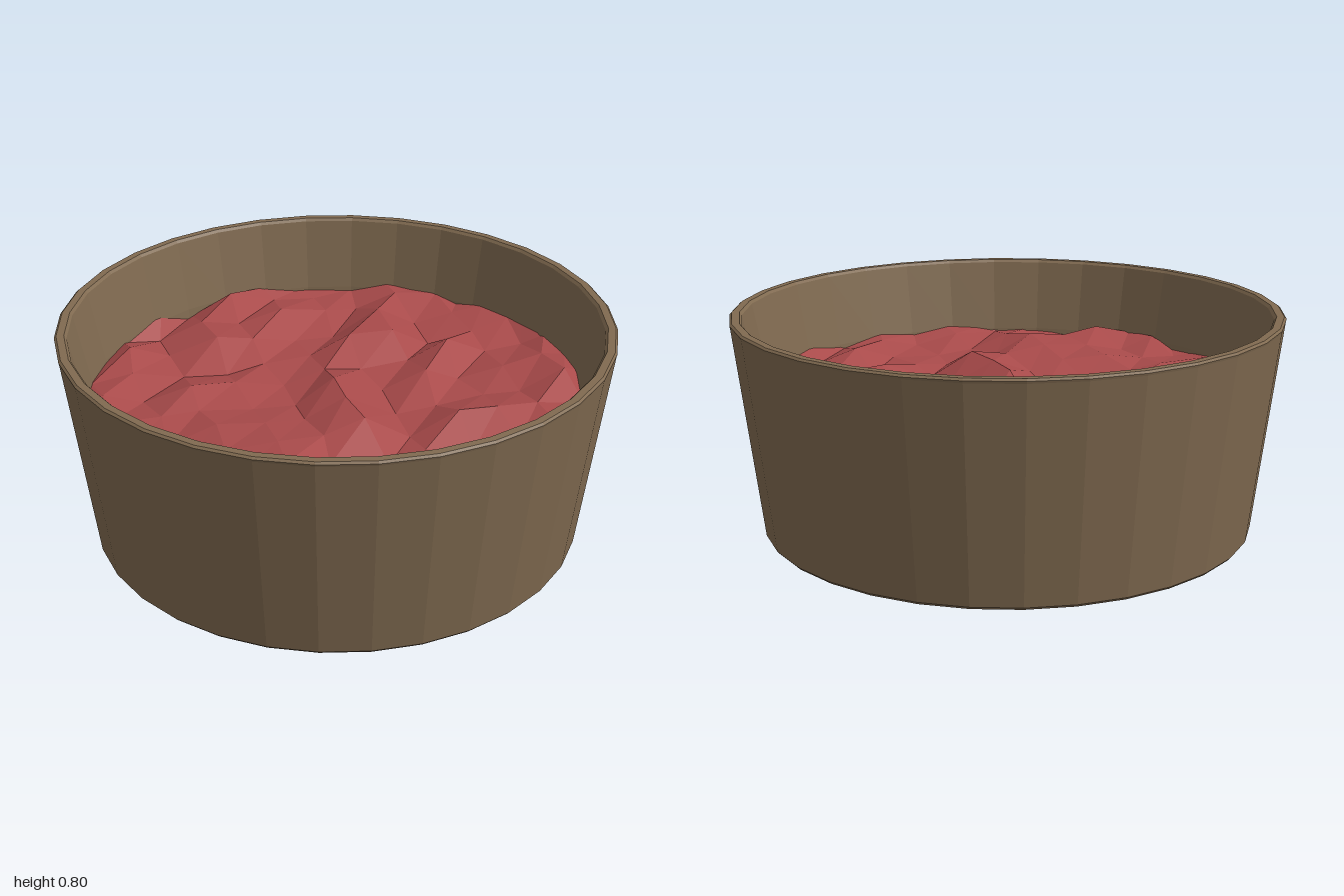
import * as THREE from 'three';

const SEGMENTS = 32;
const CELLS = 12;
const FILL_RADIUS = 0.912;
const FILL_HEIGHT = 0.52;

// small seeded generator, returns values in -1..1
function makeNoise(seed) {
  let s = seed;
  return () => {
    s = (s * 16807) % 2147483647;
    return (s / 2147483647) * 2 - 1;
  };
}

// bowl: one closed profile with a recessed foot and softened lips
function createBowl(material) {
  const profile = [
    [0, 0.04], [0.855, 0.04], [0.86, 0.01], [0.868, 0], [0.893, 0], [0.902, 0.01],
    [0.998, 0.785], [1, 0.793], [0.992, 0.8], [0.965, 0.8], [0.956, 0.79],
    [0.902, 0.52], [0.85, 0.1], [0, 0.1],
  ].map(([r, y]) => new THREE.Vector2(r, y));
  const bowl = new THREE.Mesh(new THREE.LatheGeometry(profile, SEGMENTS), material);
  bowl.name = 'bowl';
  return bowl;
}

// filling: a jittered grid whose outer points are pulled in to the bowl wall
function createFilling(material) {
  const geometry = new THREE.PlaneGeometry(2, 2, CELLS, CELLS).rotateX(-Math.PI / 2);
  const pos = geometry.attributes.position;
  const noise = makeNoise(4711);
  for (let i = 0; i < pos.count; i++) {
    let x = pos.getX(i) + noise() * 0.02;
    let z = pos.getZ(i) + noise() * 0.02;
    let y = FILL_HEIGHT + noise() * 0.045;
    const col = i % (CELLS + 1);
    const row = Math.floor(i / (CELLS + 1));
    // ridge with a steep drop to its right near the middle
    if (row >= 6 && row <= 8) {
      if (col === 6) y = FILL_HEIGHT + 0.05;
      if (col === 7) y = FILL_HEIGHT - 0.04;
    }
    const r = Math.hypot(x, z);
    if (r > FILL_RADIUS) {
      x *= FILL_RADIUS / r;
      z *= FILL_RADIUS / r;
      y = FILL_HEIGHT + (y - FILL_HEIGHT) * 0.5;
    }
    pos.setXYZ(i, x, y, z);
  }
  geometry.computeVertexNormals();
  const filling = new THREE.Mesh(geometry, material);
  filling.name = 'filling';
  return filling;
}

export function createModel() {
  const brown = new THREE.MeshStandardMaterial({ color: 0x806a50, flatShading: true });
  brown.name = 'brown clay';
  const red = new THREE.MeshStandardMaterial({ color: 0xa84a4a, flatShading: true, side: THREE.DoubleSide });
  red.name = 'red filling';

  const group = new THREE.Group();
  group.name = 'filledBowl';
  group.add(createBowl(brown), createFilling(red));
  return group;
}
